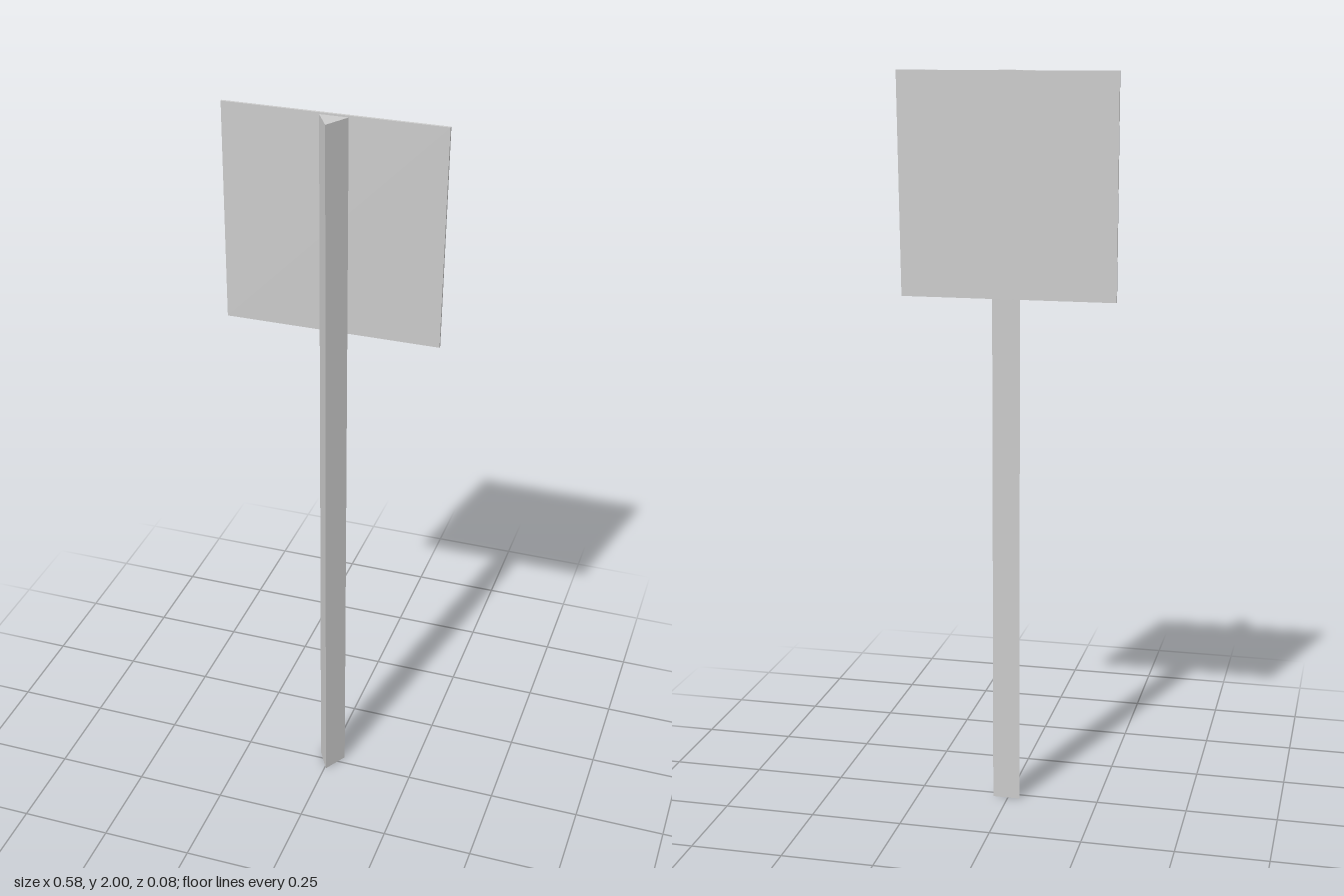
import * as THREE from 'three';

export function createModel() {
  const group = new THREE.Group();
  const material = new THREE.MeshStandardMaterial({ color: 0xcccccc, flatShading: true });

  // Triangular post, one edge pointing to the front
  const post = new THREE.Mesh(new THREE.CylinderGeometry(0.0433, 0.0433, 2, 3), material);
  post.name = 'post';
  post.position.set(0.0045, 1, -0.0025);
  group.add(post);

  // Thin sign board behind the post; its +x edge narrows slightly downwards
  const outline = new THREE.Shape([
    new THREE.Vector2(-0.292, 1.415),
    new THREE.Vector2(0.284, 1.415),
    new THREE.Vector2(0.291, 2),
    new THREE.Vector2(-0.292, 2),
  ]);
  const board = new THREE.Mesh(
    new THREE.ExtrudeGeometry(outline, { depth: 0.007, bevelEnabled: false }), material);
  board.name = 'signBoard';
  board.position.z = -0.043;
  group.add(board);

  return group;
}
